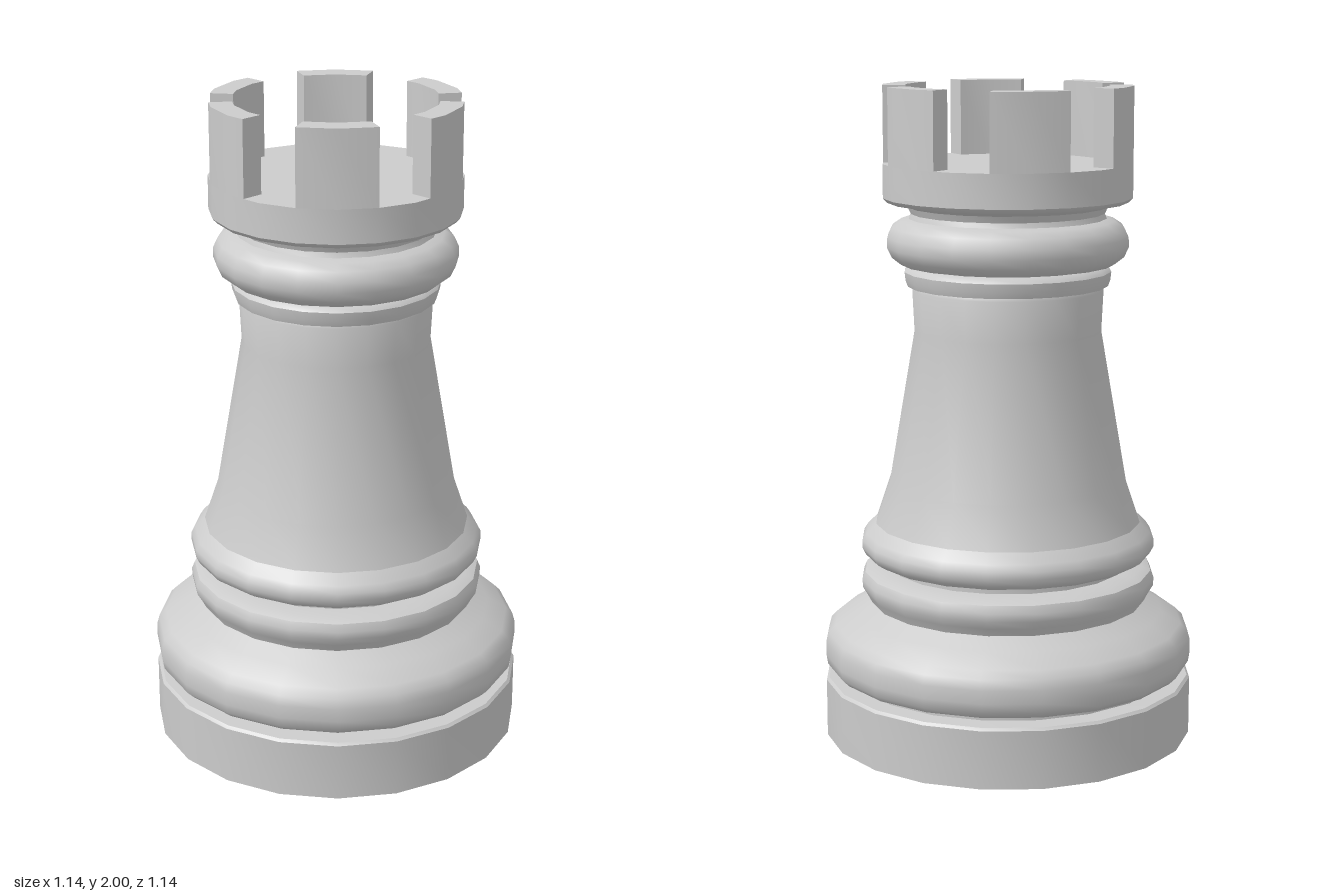
import * as THREE from 'three';
import { toCreasedNormals } from 'three/addons/utils/BufferGeometryUtils.js';

const SIDES = 20;
const STEP = 360 / SIDES;
const FLOOR = 1.77;
const rad = THREE.MathUtils.degToRad;
const material = new THREE.MeshStandardMaterial({ color: 0xcccccc });

// Turned sections, each a list of [radius, height] from bottom to top
const sections = {
  base: [[0, 0], [0.57, 0], [0.57, 0.178], [0.562, 0.186], [0.505, 0.188], [0.505, 0.203]],
  footMoulding: [[0.505, 0.203], [0.545, 0.21], [0.565, 0.23], [0.57, 0.26], [0.57, 0.3], [0.562, 0.33],
    [0.54, 0.352], [0.48, 0.388], [0.425, 0.42]],
  lowerRing: [[0.425, 0.42], [0.438, 0.445], [0.453, 0.47], [0.455, 0.495], [0.445, 0.518], [0.42, 0.529],
    [0.37, 0.532], [0.37, 0.555]],
  upperRing: [[0.37, 0.555], [0.42, 0.56], [0.443, 0.575], [0.454, 0.597], [0.453, 0.62], [0.44, 0.64],
    [0.41, 0.67]],
  column: [[0.41, 0.67], [0.366, 0.8], [0.286, 1.265], [0.292, 1.39], [0.288, 1.4]],
  neckRing: [[0.288, 1.4], [0.305, 1.401], [0.312, 1.42], [0.315, 1.445], [0.305, 1.457], [0.29, 1.462]],
  collar: [[0.29, 1.462], [0.325, 1.468], [0.353, 1.49], [0.367, 1.52], [0.366, 1.55], [0.352, 1.58],
    [0.325, 1.598], [0.3, 1.605], [0.294, 1.62]],
  head: [[0.294, 1.62], [0.303, 1.64], [0.33, 1.65], [0.366, 1.655], [0.378, 1.668], [0.378, FLOOR], [0, FLOOR]],
};

// Point on the edge of a regular polygon with a corner at 0 degrees
function polygonPoint(radius, degrees) {
  const offset = THREE.MathUtils.euclideanModulo(degrees, STEP) - STEP / 2;
  const r = radius * Math.cos(rad(STEP / 2)) / Math.cos(rad(offset));
  return new THREE.Vector2(r * Math.cos(rad(degrees)), r * Math.sin(rad(degrees)));
}

// One battlement block: a slice of the polygonal wall, 36 degrees wide
function battlementGeometry(centre) {
  const start = centre - STEP, end = centre + STEP;
  const angles = [start];
  for (let a = (Math.floor(start / STEP) + 1) * STEP; a < end; a += STEP) angles.push(a);
  angles.push(end);
  const outer = angles.map((a) => polygonPoint(0.378, a));
  const inner = angles.map((a) => polygonPoint(0.308, a)).reverse();
  const geometry = new THREE.ExtrudeGeometry(new THREE.Shape([...outer, ...inner]), {
    depth: 2 - FLOOR, bevelEnabled: false,
  });
  geometry.rotateX(-Math.PI / 2).translate(0, FLOOR, 0);
  return geometry;
}

export function createModel() {
  const group = new THREE.Group();
  group.name = 'chessRook';

  const add = (parent, geometry, name) => {
    const mesh = new THREE.Mesh(toCreasedNormals(geometry, rad(42)), material);
    mesh.name = name;
    parent.add(mesh);
  };

  // Turned body
  for (const [name, profile] of Object.entries(sections)) {
    const points = profile.map(([r, y]) => new THREE.Vector2(r, y));
    add(group, new THREE.LatheGeometry(points, SIDES), name);
  }

  // Ring of six battlements
  const battlements = new THREE.Group();
  battlements.name = 'battlements';
  [27, 90, 153, 207, 270, 333].forEach((angle, i) => {
    add(battlements, battlementGeometry(angle), `battlement${i + 1}`);
  });
  group.add(battlements);

  return group;
}
